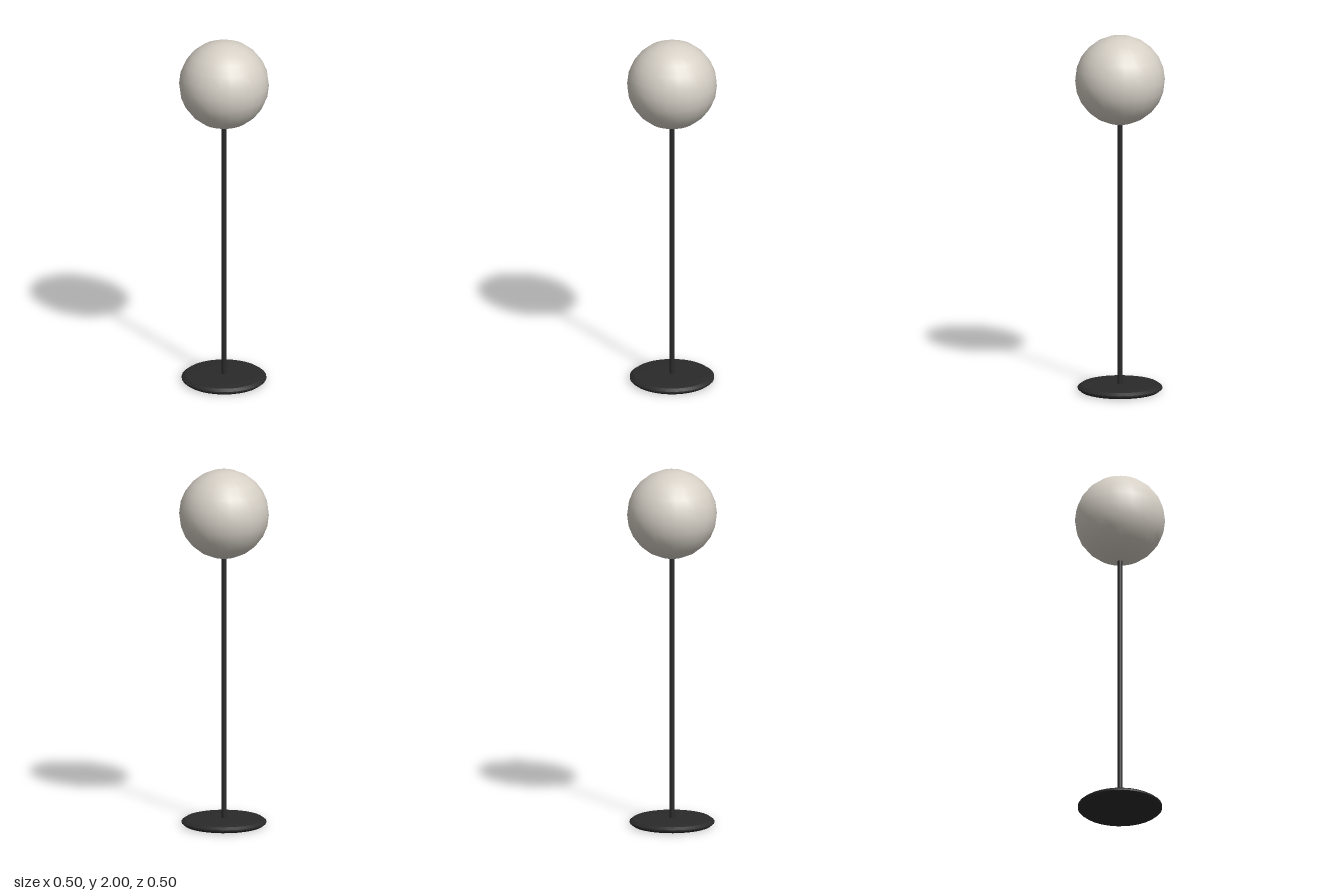
import * as THREE from 'three';
import { toCreasedNormals } from 'three/addons/utils/BufferGeometryUtils.js';

export function createModel() {
  const model = new THREE.Group();
  model.name = 'globeFloorLamp';

  const darkMetal = new THREE.MeshStandardMaterial({ color: 0x2a2a2a });
  darkMetal.name = 'dark metal';
  const opalGlass = new THREE.MeshStandardMaterial({ color: 0xd6d0c6 });
  opalGlass.name = 'warm opal glass';

  const add = (name, geometry, material, y = 0) => {
    const mesh = new THREE.Mesh(geometry, material);
    mesh.name = name;
    mesh.position.y = y;
    model.add(mesh);
  };

  // Thin round foot with a bevelled rim and a slightly raised centre
  const footProfile = [
    [0, 0], [0.218, 0], [0.233, 0.012], [0.233, 0.02], [0.215, 0.033], [0.17, 0.037], [0, 0.037],
  ].map(([r, y]) => new THREE.Vector2(r, y));
  add('base', toCreasedNormals(new THREE.LatheGeometry(footProfile, 32), 0.5), darkMetal);

  // Slim pole, ending just inside the globe
  add('pole', new THREE.CylinderGeometry(0.0135, 0.0135, 1.5, 16), darkMetal, 0.77);

  // Globe shade
  add('globeShade', new THREE.SphereGeometry(0.248, 24, 12), opalGlass, 1.752);

  return model;
}
